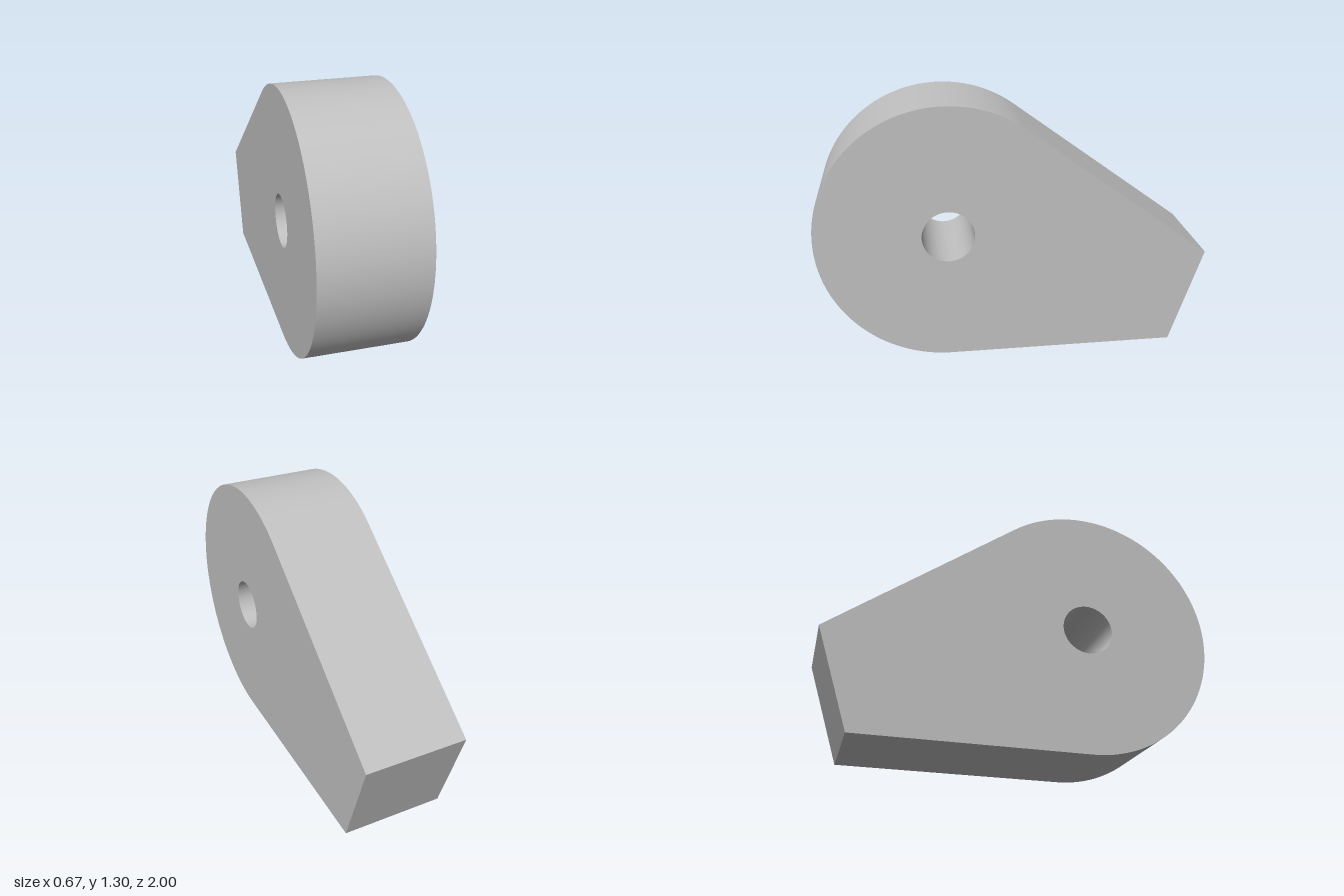
import * as THREE from 'three';
import { toCreasedNormals } from 'three/addons/utils/BufferGeometryUtils.js';

const RADIUS = 0.65, HOLE = 0.13, WIDTH = 0.516, TILT = 0.082;
const AXIS = { x: -0.33, y: 0.65 };       // centre of the round end (x runs to the back)
const TAIL_TOP = { x: 0.98, y: 0.495 };
const TAIL_BOTTOM = { x: 0.82, y: 0 };

export function createModel() {
  const group = new THREE.Group();
  const grey = new THREE.MeshStandardMaterial({ color: 0xc0c0c0 });
  grey.name = 'grey';

  // Angle at which the sloping top edge touches the round end
  const dx = TAIL_TOP.x - AXIS.x, dy = TAIL_TOP.y - AXIS.y;
  const tangent = Math.atan2(dy, dx) + Math.acos(RADIUS / Math.hypot(dx, dy));

  // Side outline: flat base, leaning tail, slope, round end
  const outline = new THREE.Shape();
  outline.moveTo(AXIS.x, 0);
  outline.lineTo(TAIL_BOTTOM.x, TAIL_BOTTOM.y);
  outline.lineTo(TAIL_TOP.x, TAIL_TOP.y);
  outline.absarc(AXIS.x, AXIS.y, RADIUS, tangent, Math.PI * 1.5, false);

  // Pivot hole through the round end
  const hole = new THREE.Path();
  hole.absarc(AXIS.x, AXIS.y, HOLE, 0, Math.PI * 2, true);
  outline.holes.push(hole);

  const geometry = new THREE.ExtrudeGeometry(outline, { depth: WIDTH, bevelEnabled: false, curveSegments: 64 });
  geometry.translate(0, 0, -WIDTH / 2);
  geometry.rotateY(Math.PI / 2);

  const lever = new THREE.Mesh(toCreasedNormals(geometry, 0.5), grey);
  lever.name = 'camLever';
  lever.rotation.y = TILT;
  group.add(lever);
  return group;
}
